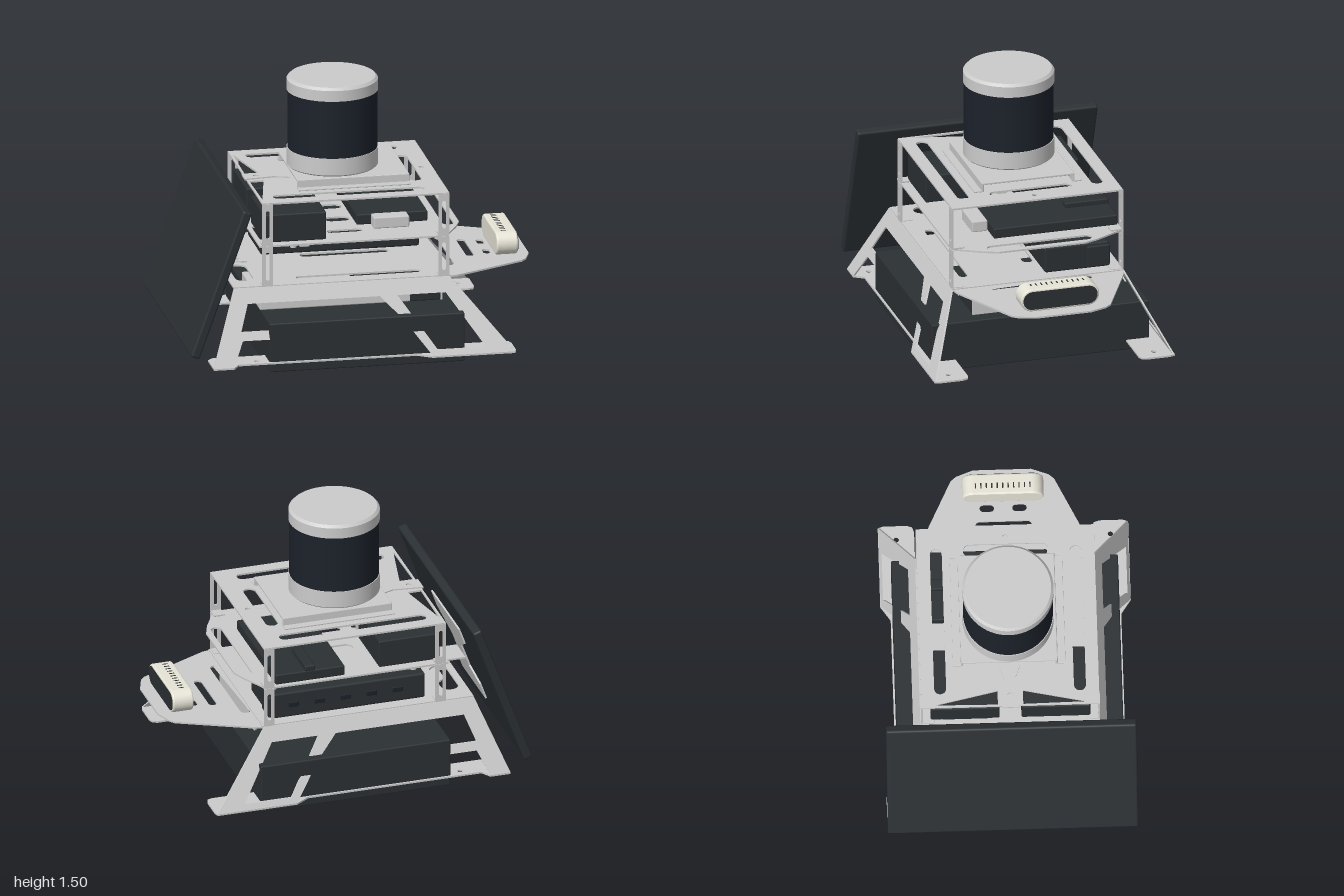
import * as THREE from 'three';
import { RoundedBoxGeometry } from 'three/addons/geometries/RoundedBoxGeometry.js';

const mat = (color, roughness = 0.8) => new THREE.MeshStandardMaterial({ color, roughness, side: THREE.DoubleSide });
const T = 0.01; // sheet thickness

export function createModel() {
  const model = new THREE.Group();
  const grey = new THREE.MeshStandardMaterial({ color: 0xcccccc, side: THREE.DoubleSide });
  const dark = mat(0x2b3033), navy = mat(0x1c222b), ivory = mat(0xe6e3d6);

  const add = (name, geo, material = grey, parent = model) => {
    const mesh = new THREE.Mesh(geo, material);
    mesh.name = name;
    parent.add(mesh);
    return mesh;
  };
  // Box given by its ranges on each axis
  const box = (name, [x0, x1], [y0, y1], [z0, z1], material = dark, r = 0.008) => {
    const mesh = add(name, new RoundedBoxGeometry(x1 - x0, y1 - y0, z1 - z0, 1, r), material);
    mesh.position.set((x0 + x1) / 2, (y0 + y1) / 2, (z0 + z1) / 2);
    return mesh;
  };
  const poly = (pts, Type = THREE.Path) => new Type(pts.map(p => new THREE.Vector2(...p)));
  // Rounded slot centred on (cx, cy), full size w by h
  const slot = (cx, cy, w, h, Type = THREE.Path) => {
    const p = new Type(), r = Math.min(w, h) / 2, a = Math.PI / 2;
    if (w >= h) {
      p.absarc(cx + w / 2 - r, cy, r, -a, a);
      p.absarc(cx - w / 2 + r, cy, r, a, 3 * a);
    } else {
      p.absarc(cx, cy + h / 2 - r, r, 0, 2 * a);
      p.absarc(cx, cy - h / 2 + r, r, 2 * a, 4 * a);
    }
    p.closePath();
    return p;
  };
  const sheet = (pts, holes = [], depth = T) => {
    const s = poly(pts, THREE.Shape);
    s.holes.push(...holes);
    return new THREE.ExtrudeGeometry(s, { depth, bevelEnabled: false, curveSegments: 8 });
  };
  // Horizontal plate drawn in x and z, its top at height y
  const plate = (name, y, pts, holes = []) =>
    add(name, sheet(pts, holes).rotateX(Math.PI / 2).translate(0, y, 0));
  const mirrored = half => [...half, ...half.slice().reverse().map(([x, z]) => [x, -z])];
  const hole = (x, z, d = 0.03) => slot(x, z, d, d);

  // Battery and the electronics tray above it
  box('battery', [-0.545, 0.55], [0, 0.28], [-0.625, 0.625]);
  box('trayBase', [-0.55, 0.3], [0.28, 0.345], [-0.15, 0.37], grey);
  box('trayModule', [0.02, 0.465], [0.28, 0.39], [-0.15, 0.37]);
  box('trayFrontPlate', [0.465, 0.475], [0.28, 0.395], [-0.15, 0.37], grey, 0.002);
  const tab = add('trayTab', new THREE.ExtrudeGeometry(slot(0, 0, 0.18, 0.11, THREE.Shape),
    { depth: T, bevelEnabled: false }).rotateY(Math.PI / 2));
  tab.position.set(0.45, 0.345, -0.16);

  // Sloping side frames with turned-in feet
  const splay = y => 0.49 + 0.195 * (0.455 - y) / 0.4;
  for (const s of [-1, 1]) {
    const side = s > 0 ? 'front' : 'back';
    const geo = sheet(
      [[-0.72, 0.455], [0.49, 0.455], [0.82, 0.06], [0.36, 0.06], [0.26, 0.19], [-0.695, 0.19], [-0.755, 0.06], [-0.87, 0.06]],
      [poly([[-0.65, 0.375], [0.09, 0.375], [0.23, 0.235], [-0.7, 0.235]]),
        poly([[0.19, 0.375], [0.46, 0.375], [0.66, 0.09], [0.39, 0.09]])]);
    const p = geo.attributes.position;
    for (let i = 0; i < p.count; i++) p.setZ(i, p.getZ(i) - T / 2 + s * splay(p.getY(i)));
    geo.computeVertexNormals();
    add(side + 'SideFrame', geo);

    plate(side + 'FootFlange', 0.06,
      [[-0.87, 0.69], [-0.755, 0.69], [-0.72, 0.635], [0.28, 0.635], [0.36, 0.69], [0.82, 0.69],
        [0.83, 0.66], [0.83, 0.53], [0.82, 0.5], [0.79, 0.49], [-0.84, 0.49], [-0.87, 0.52]].map(([x, z]) => [x, z * s]),
      [hole(0.75, 0.59 * s), hole(-0.79, 0.59 * s), hole(-0.61, 0.59 * s)]);

    // Slotted corner posts of both levels
    for (const x of [-0.53, 0.46]) for (const [y0, y1] of [[0.455, 0.685], [0.69, 0.93]]) {
      const ym = (y0 + y1) / 2, w = 0.03;
      const post = sheet([[x - w, y0], [x + w, y0], [x + w, y1], [x - w, y1]], [slot(x, ym, 0.022, 0.16)]);
      add('cornerPost', post.translate(0, 0, s * 0.488 - T / 2));
      box('postFoot', [x - w, x + w], [y0, y0 + T], s > 0 ? [0.42, 0.49] : [-0.49, -0.42], grey, 0.002);
    }
  }

  // Three decks and the nose plate
  plate('lowerDeck', 0.46, mirrored([[-0.72, 0.49], [0.5, 0.49]]), [
    slot(-0.63, 0.23, 0.1, 0.3), slot(-0.63, -0.23, 0.1, 0.3),
    slot(0.0, 0.38, 0.7, 0.05), slot(0.0, -0.02, 0.5, 0.06)]);
  plate('nosePlate', 0.455, mirrored([[0.49, 0.49], [0.54, 0.48], [0.94, 0.285], [0.965, 0.255], [1, 0.16]]), [
    slot(0.528, 0, 0.062, 0.6), slot(0.675, 0, 0.045, 0.31), slot(0.775, 0.09, 0.04, 0.08), slot(0.775, -0.09, 0.04, 0.08)]);
  plate('middleDeck', 0.69, mirrored([[-0.575, 0.49], [0.48, 0.49], [0.5, 0.44], [0.56, 0.33], [0.59, 0.25]]), [
    slot(0.525, 0, 0.062, 0.6), slot(-0.06, 0.3, 0.2, 0.05), slot(-0.06, -0.15, 0.14, 0.08),
    slot(-0.06, 0.08, 0.14, 0.08), slot(-0.53, 0.25, 0.04, 0.25), slot(-0.53, -0.25, 0.04, 0.25)]);
  const rearCut = s => poly([[-0.55, 0.07 * s], [-0.47, 0.07 * s], [-0.545, 0.42 * s]]);
  plate('topDeck', 0.935, mirrored([[-0.56, 0.49], [0.49, 0.49]]), [
    slot(-0.055, 0.385, 0.85, 0.066), slot(-0.055, -0.385, 0.85, 0.066),
    slot(0.355, 0, 0.07, 0.47), rearCut(1), rearCut(-1), hole(0.43, 0)]);

  // Bolts under the decks
  const boltGeo = new THREE.CylinderGeometry(0.018, 0.018, 0.016, 12);
  for (const y of [0.437, 0.672]) for (const x of [-0.38, 0.43]) for (const z of [-0.46, -0.25, -0.06, 0.06, 0.25, 0.46])
    add('bolt', boltGeo).position.set(x, y, z);

  // Electronics on the lower and middle decks
  box('computer', [-0.46, 0.43], [0.46, 0.61], [-0.43, -0.06], dark, 0.012);
  for (const x of [-0.3, -0.15, 0, 0.15, 0.3])
    box('computerPort', [x - 0.03, x + 0.03], [0.52, 0.55], [-0.434, -0.42], navy, 0.004);
  box('connector', [0.42, 0.445], [0.47, 0.595], [-0.43, -0.3]);
  box('powerModule', [-0.54, -0.19], [0.69, 0.85], [0.06, 0.44]);
  box('powerModule', [-0.54, -0.19], [0.69, 0.85], [-0.44, -0.06]);
  box('controller', [0.02, 0.42], [0.695, 0.755], [-0.48, 0.23]);
  box('controllerPlug', [0.19, 0.25], [0.75, 0.785], [-0.48, -0.23]);
  box('controllerBracket', [0.1, 0.3], [0.695, 0.76], [0.23, 0.32], grey);
  box('supportColumn', [-0.26, -0.2], [0.52, 0.935], [-0.03, 0.03], grey);

  // Spinning range sensor on its folded stand
  box('standTop', [-0.32, 0.31], [0.975, 0.987], [-0.265, 0.265], grey, 0.003);
  for (const s of [-1, 1]) {
    const span = (a, b) => s > 0 ? [a, b] : [-b, -a];
    box('standSide', [-0.32, 0.31], [0.935, 0.985], span(0.255, 0.267), grey, 0.003);
    box('standFoot', [-0.32, 0.31], [0.935, 0.943], span(0.255, 0.31), grey, 0.002);
  }
  const turned = (name, pts, material) =>
    add(name, new THREE.LatheGeometry(pts.map(p => new THREE.Vector2(...p)), 64), material).position.x = -0.07;
  turned('sensorBase', [[0, 0.987], [0.245, 0.987], [0.252, 0.994], [0.252, 0.994], [0.252, 1.09], [0.252, 1.09], [0, 1.09]], grey);
  turned('sensorWindow', [[0.248, 1.09], [0.248, 1.42]], navy);
  turned('sensorCap', [[0, 1.42], [0.252, 1.42], [0.252, 1.42], [0.252, 1.482], [0.252, 1.482], [0.238, 1.497], [0.238, 1.497], [0, 1.497]], grey);

  // Stereo camera on the nose
  const camera = new THREE.Group();
  camera.name = 'stereoCamera';
  camera.position.set(0.82, 0.523, 0);
  model.add(camera);
  add('cameraBody', new THREE.ExtrudeGeometry(slot(0, 0, 0.43, 0.11, THREE.Shape),
    { depth: 0.1, bevelThickness: 0.01, bevelSize: 0.01, bevelSegments: 3, curveSegments: 16 }).rotateY(Math.PI / 2), ivory, camera);
  add('cameraFace', new THREE.ExtrudeGeometry(slot(0, 0, 0.425, 0.105, THREE.Shape),
    { depth: 0.004, bevelEnabled: false, curveSegments: 16 }).rotateY(Math.PI / 2), dark, camera).position.x = 0.109;
  for (let i = 0; i < 11; i++) // cooling vents
    add('cameraVent', new THREE.BoxGeometry(0.03, 0.003, 0.007), dark, camera).position.set(0.04, 0.065, -0.15 + i * 0.03);
  box('cameraFoot', [0.84, 0.9], [0.452, 0.47], [-0.06, 0.06], grey, 0.003);

  // Tilted rear panel with its hourglass bracket
  const rear = new THREE.Group();
  rear.name = 'rearPanel';
  rear.position.set(-0.827, 0.54, 0);
  rear.rotation.z = -0.345;
  model.add(rear);
  add('panel', new RoundedBoxGeometry(0.052, 0.877, 1.38, 2, 0.012), dark, rear);
  add('panelBracket', sheet(mirrored([[0.24, 0.25], [0.14, 0.25], [0.04, 0.08], [-0.1, 0.08], [-0.16, 0.21], [-0.26, 0.21]])
    .map(([a, b]) => [b, a])).rotateY(Math.PI / 2), grey, rear).position.x = 0.03;
  plate('bracketArm', 0.488, mirrored([[-0.81, 0.08], [-0.65, 0.08], [-0.6, 0.11], [-0.57, 0.11]]), [hole(-0.62, 0.06), hole(-0.62, -0.06)]);
  plate('topArm', 0.942, mirrored([[-0.57, 0.05], [-0.4, 0.03], [-0.32, 0.06]]), [hole(-0.5, 0)]);
  return model;
}
